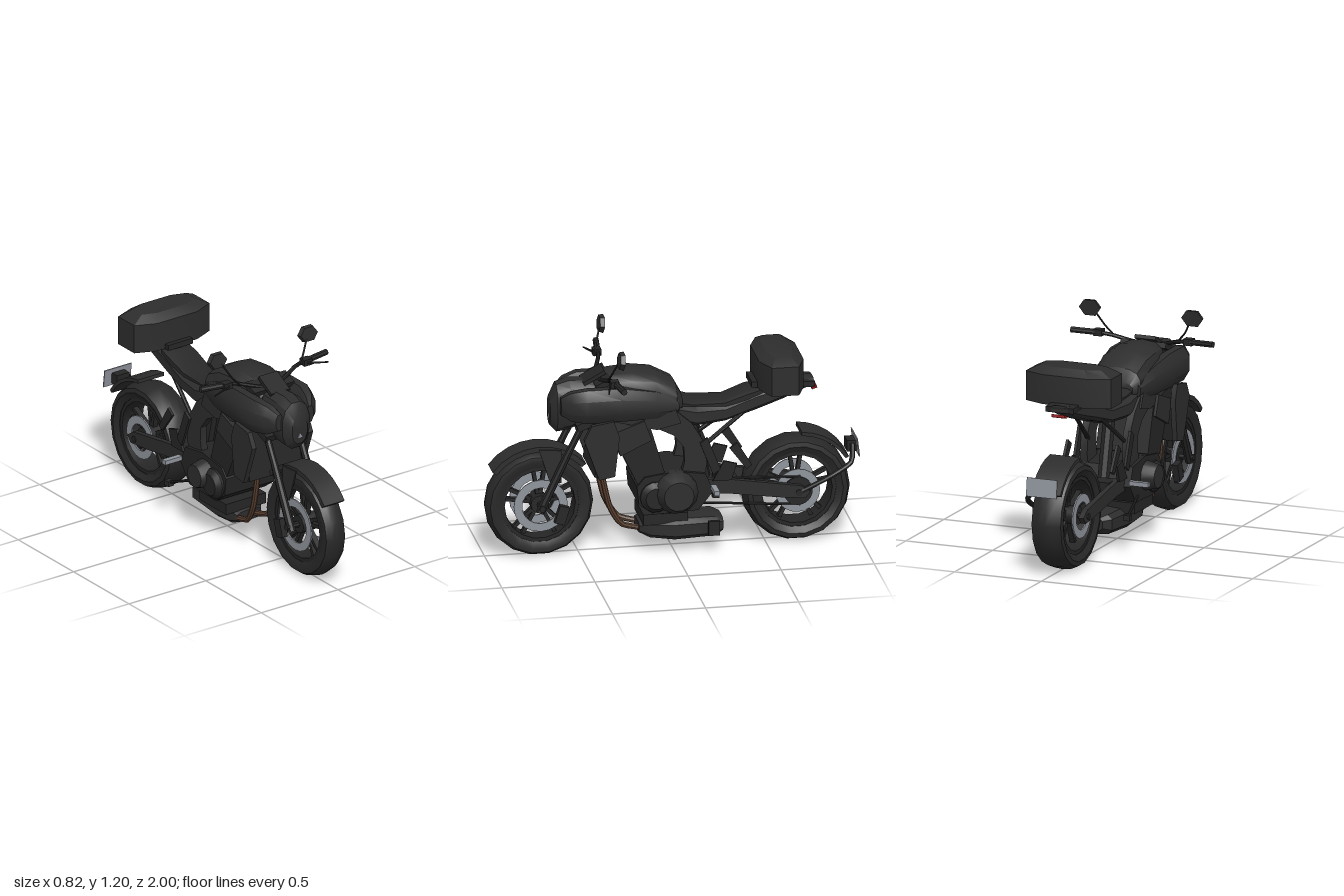
import * as THREE from 'three';
import { toCreasedNormals } from 'three/addons/utils/BufferGeometryUtils.js';

const mat = (name, color) => Object.assign(new THREE.MeshStandardMaterial({ color }), { name });

export function createModel() {
  const root = new THREE.Group();
  root.name = 'motorcycle';
  const paint = mat('black paint', 0x2d2d2d);
  const rubber = mat('dark rubber', 0x282828);
  const metal = mat('dark metal', 0x252525);
  const steel = mat('light steel', 0x8f949b);
  const copper = mat('brown exhaust', 0x5a4030);
  const red = mat('red lens', 0x8c0a0d);
  const V = (x, y, z) => new THREE.Vector3(x, y, z);

  const add = (name, geo, material, parent = root) => {
    const mesh = new THREE.Mesh(toCreasedNormals(geo, 0.55), material);
    mesh.name = name;
    parent.add(mesh);
    return mesh;
  };
  const pair = (fn) => [1, -1].forEach(fn);

  // Body through oval sections [z, cx, cy, halfWidth, halfHeight], z rising; p < 1 squares the oval
  function loft(sections, n = 12, p = 0.75) {
    const pos = [], idx = [];
    const bend = (v) => Math.sign(v) * Math.abs(v) ** p;
    for (const [z, cx, cy, w, h] of sections)
      for (let k = 0; k < n; k++) {
        const a = ((k + 0.5) / n) * Math.PI * 2;
        pos.push(cx + w * bend(Math.cos(a)), cy + h * bend(Math.sin(a)), z);
      }
    const last = sections.length - 1;
    for (const i of [0, last]) pos.push(sections[i][1], sections[i][2], sections[i][0]);
    const c0 = n * sections.length;
    for (let k = 0; k < n; k++) {
      const j = (k + 1) % n;
      for (let i = 0; i < last; i++) {
        const a = i * n + k, b = i * n + j, c = b + n, d = a + n;
        idx.push(a, b, c, a, c, d);
      }
      idx.push(c0, j, k, c0 + 1, last * n + k, last * n + j);
    }
    const g = new THREE.BufferGeometry();
    g.setAttribute('position', new THREE.Float32BufferAttribute(pos, 3));
    g.setIndex(idx);
    return g;
  }
  // Side-on outline of [z, y] points, from x = a to x = b
  function plate(pts, a, b) {
    const shape = new THREE.Shape(pts.map(([z, y]) => new THREE.Vector2(z, y)));
    const g = new THREE.ExtrudeGeometry(shape, { depth: Math.abs(a - b), bevelEnabled: false });
    return g.rotateY(-Math.PI / 2).translate(Math.max(a, b), 0, 0);
  }
  // Ring turned round the x axis from [radius, x] points
  const turned = (pts, n) =>
    new THREE.LatheGeometry(pts.map(([r, x]) => new THREE.Vector2(r, x)), n).rotateZ(-Math.PI / 2);
  const ring = (ri, ro, t, n) => turned([[ri, -t], [ro, -t], [ro, t], [ri, t], [ri, -t]], n);
  function rod(a, b, r, r2 = r, n = 8) {
    const d = b.clone().sub(a);
    const g = new THREE.CylinderGeometry(r2, r, d.length(), n);
    g.applyQuaternion(new THREE.Quaternion().setFromUnitVectors(V(0, 1, 0), d.normalize()));
    const m = a.clone().add(b).multiplyScalar(0.5);
    return g.translate(m.x, m.y, m.z);
  }
  const tube = (pts, r) =>
    new THREE.TubeGeometry(new THREE.CatmullRomCurve3(pts, false, 'catmullrom', 0.3), 16, r, 8);
  const box = (w, h, d, x, y, z, rx = 0) => new THREE.BoxGeometry(w, h, d).rotateX(rx).translate(x, y, z);
  // Outline of a curved mudguard round a wheel, angles in degrees from +z
  function arc(cz, cy, ri, ro, a0, a1, n = 8) {
    const pts = [];
    for (let i = 0; i <= 2 * n + 1; i++) {
      const out = i <= n, t = out ? i / n : (2 * n + 1 - i) / n;
      const a = THREE.MathUtils.degToRad(a0 + (a1 - a0) * t), r = out ? ro : ri;
      pts.push([cz + r * Math.cos(a), cy + r * Math.sin(a)]);
    }
    return pts;
  }

  // Wheels with tyre, rim, spokes and brake discs
  function wheel(name, z, y, w, discR, discIn, discX) {
    const g = new THREE.Group();
    g.name = name;
    g.position.set(0, y, z);
    root.add(g);
    add('tyre', turned([[0.21, -w * 0.8], [0.245, -w], [0.27, -w * 0.95], [0.287, -w * 0.5], [0.292, 0],
      [0.287, w * 0.5], [0.27, w * 0.95], [0.245, w], [0.21, w * 0.8], [0.21, -w * 0.8]], 18), rubber, g);
    add('rim', ring(0.19, 0.215, w * 0.75, 18), metal, g);
    add('hub', ring(0.012, 0.05, w * 0.8, 12), metal, g);
    for (let i = 0; i < 10; i++) {
      const a = (Math.floor(i / 2) / 5) * Math.PI * 2 + (i % 2 ? 0.16 : -0.16);
      add('spoke', box(0.03, 0.17, 0.02, 0, 0.12, 0).rotateX(a), metal, g);
    }
    pair((s) => add('brakeDisc', ring(discIn, discR, 0.004, 20).translate(s * discX, 0, 0), steel, g));
    add('axle', rod(V(-0.13, 0, 0), V(0.13, 0, 0), 0.018), metal, g);
    return g;
  }
  wheel('frontWheel', 0.71, 0.297, 0.064, 0.145, 0.1, 0.066);
  const rear = wheel('rearWheel', -0.667, 0.297, 0.088, 0.12, 0.075, 0.085);
  add('sprocket', ring(0.02, 0.078, 0.005, 24).translate(0.093, 0, 0), metal, rear);

  // Front end: mudguard, fork, calipers, clamps
  add('frontMudguard', plate(arc(0.71, 0.297, 0.3, 0.328, 38, 138), -0.066, 0.066), paint);
  pair((s) => {
    add('forkSlider', rod(V(s * 0.1, 0.27, 0.72), V(s * 0.1, 0.6, 0.565), 0.024, 0.02), metal);
    add('forkTube', rod(V(s * 0.1, 0.58, 0.575), V(s * 0.1, 0.99, 0.37), 0.019), metal);
    add('mudguardStay', plate([[0.6, 0.42], [0.66, 0.42], [0.72, 0.61], [0.6, 0.6]], s * 0.066, s * 0.074), paint);
    add('caliper', box(0.035, 0.1, 0.055, s * 0.085, 0.245, 0.6, -0.3), metal);
  });
  add('upperClamp', box(0.26, 0.03, 0.09, 0, 0.975, 0.38, 0.4), metal);
  add('lowerClamp', box(0.25, 0.04, 0.09, 0, 0.75, 0.48, 0.4), metal);

  // Headlamp cowl, small lamp and instruments
  add('headlampCowl', loft([[0.4, 0, 0.87, 0.085, 0.1], [0.55, 0, 0.84, 0.098, 0.14],
    [0.62, 0, 0.825, 0.09, 0.135], [0.655, 0, 0.81, 0.05, 0.08]], 12, 0.85), paint);
  add('positionLamp', new THREE.CylinderGeometry(0.017, 0.017, 0.006, 3)
    .rotateX(Math.PI / 2).rotateZ(Math.PI).translate(0, 0.775, 0.656), steel);
  add('instruments', box(0.12, 0.02, 0.13, 0, 0.99, 0.42, 0.5), metal);

  // Handlebar, grips, levers and mirrors
  add('handlebar', tube([V(-0.3, 1.025, 0.34), V(-0.2, 1.02, 0.35), V(-0.08, 0.985, 0.39), V(0, 0.98, 0.4),
    V(0.08, 0.985, 0.39), V(0.2, 1.02, 0.35), V(0.3, 1.025, 0.34)], 0.011), metal);
  pair((s) => {
    add('grip', rod(V(s * 0.26, 1.025, 0.345), V(s * 0.41, 1.03, 0.325), 0.017), rubber);
    add('switchgear', box(0.05, 0.035, 0.045, s * 0.26, 1.025, 0.35), metal);
    add('lever', rod(V(s * 0.25, 1.025, 0.37), V(s * 0.37, 1.01, 0.4), 0.007, 0.004, 6), metal);
    add('mirrorStalk', tube([V(s * 0.19, 1.02, 0.37), V(s * 0.23, 1.065, 0.36), V(s * 0.28, 1.15, 0.33)], 0.005), metal);
    add('mirror', new THREE.CylinderGeometry(0.055, 0.062, 0.025, 6).rotateZ(Math.PI / 2).rotateY(Math.PI / 2)
      .scale(1, 0.8, 1).rotateX(-0.12).translate(s * 0.295, 1.165, 0.32), paint);
  });

  // Tank and its side shrouds
  add('fuelTank', loft([[-0.045, 0, 0.83, 0.11, 0.05], [-0.01, 0, 0.855, 0.14, 0.09], [0.1, 0, 0.885, 0.15, 0.12],
    [0.22, 0, 0.89, 0.15, 0.132], [0.34, 0, 0.885, 0.13, 0.13], [0.42, 0, 0.87, 0.09, 0.09]], 14), paint);
  pair((s) => {
    add('tankShroud', loft([[-0.02, s * 0.115, 0.83, 0.03, 0.04], [0.1, s * 0.135, 0.85, 0.045, 0.08],
      [0.3, s * 0.15, 0.87, 0.058, 0.1], [0.48, s * 0.15, 0.87, 0.06, 0.1], [0.56, s * 0.125, 0.865, 0.05, 0.085],
      [0.61, s * 0.1, 0.86, 0.025, 0.05]], 8, 1), paint);
    add('radiatorPanel', plate([[0.5, 0.69], [0.46, 0.77], [0.34, 0.79], [0.31, 0.7], [0.335, 0.48], [0.42, 0.465]],
      s * 0.17, s * 0.198), paint);
    add('lowerTankCover', plate([[0.34, 0.8], [0.0, 0.82], [-0.03, 0.74], [0.1, 0.71], [0.33, 0.77]],
      s * 0.1, s * 0.15), paint);
  });
  add('radiator', box(0.34, 0.31, 0.05, 0, 0.62, 0.385, -0.2), metal);

  // Engine: cylinder block, crankcase and side covers
  add('cylinderBlock', plate([[0.34, 0.7], [0.15, 0.775], [0.06, 0.47], [0.2, 0.4]], -0.15, 0.15), metal);
  add('cylinderHead', plate([[0.335, 0.71], [0.17, 0.77], [0.13, 0.66], [0.3, 0.58]], -0.165, 0.165), paint);
  add('crankcase', plate([[0.21, 0.4], [0.17, 0.45], [0.0, 0.475], [-0.16, 0.45], [-0.2, 0.35], [-0.12, 0.25],
    [0.12, 0.24], [0.2, 0.3]], -0.16, 0.16), metal);
  const cover = (r, a, b) => turned([[0, a], [r, a], [r, (a + b) / 2], [r * 0.7, b], [0, b]], 14);
  add('clutchCover', cover(0.115, 0.13, 0.25).translate(0, 0.362, 0), paint);
  add('alternatorCover', cover(0.09, -0.12, 0.1).scale(1, 1, 1).rotateY(Math.PI).translate(-0.13, 0.365, 0.02), paint);
  pair((s) => add('sideCasing', cover(0.085, 0, 0.055).rotateY(s < 0 ? Math.PI : 0)
    .translate(s * 0.145, 0.34, 0.11), metal));

  // Exhaust: two header pipes, belly silencer and outlet
  pair((s) => add('headerPipe', tube([V(s * 0.075, 0.56, 0.36), V(s * 0.08, 0.47, 0.385), V(s * 0.076, 0.28, 0.345),
    V(s * 0.065, 0.165, 0.275), V(s * 0.05, 0.125, 0.13)], 0.016), copper));
  add('silencer', loft([[-0.26, 0.05, 0.145, 0.08, 0.04], [-0.22, 0.04, 0.14, 0.11, 0.06],
    [0.0, 0.033, 0.135, 0.12, 0.065], [0.13, 0.02, 0.14, 0.11, 0.055], [0.185, 0.01, 0.14, 0.08, 0.03]], 10, 0.6), paint);
  add('silencerMount', box(0.26, 0.06, 0.24, 0, 0.2, 0.05), metal);
  add('exhaustOutlet', box(0.022, 0.08, 0.06, 0.178, 0.15, -0.2), metal);

  // Main frame spars, subframe struts and swingarm
  pair((s) => {
    add('frameSpar', plate([[0.18, 0.8], [0.0, 0.81], [-0.09, 0.73], [-0.155, 0.62], [-0.17, 0.5], [-0.14, 0.36],
      [-0.02, 0.4], [-0.05, 0.52], [-0.045, 0.6], [0.01, 0.67], [0.13, 0.73]], s * 0.1, s * 0.14), paint);
    add('subframeStrut', rod(V(s * 0.07, 0.78, -0.41), V(s * 0.11, 0.57, -0.13), 0.012), metal);
    add('swingarm', plate([[-0.1, 0.41], [-0.28, 0.4], [-0.68, 0.335], [-0.73, 0.3], [-0.7, 0.265], [-0.55, 0.28],
      [-0.28, 0.32], [-0.1, 0.33]], s * 0.095, s * 0.125), paint);
    add('heelPlate', plate([[-0.2, 0.4], [-0.26, 0.51], [-0.33, 0.49], [-0.3, 0.4]], s * 0.13, s * 0.145), metal);
    add('footrestBracket', plate([[-0.13, 0.62], [-0.17, 0.65], [-0.24, 0.47], [-0.2, 0.44]], s * 0.14, s * 0.155), metal);
    add('passengerBracket', plate([[-0.29, 0.58], [-0.33, 0.61], [-0.41, 0.48], [-0.38, 0.46]], s * 0.135, s * 0.15), metal);
    add('footrest', box(0.11, 0.024, 0.03, s * 0.215, 0.375, -0.2), steel);
  });
  add('swingarmBridge', box(0.2, 0.07, 0.1, 0, 0.365, -0.29), metal);
  add('shockAbsorber', rod(V(0, 0.38, -0.18), V(0, 0.72, -0.1), 0.035), metal);
  for (const [a, b] of [[0.265, 0.22], [0.4, 0.375]])
    add('chainRun', rod(V(0.09, a, -0.14), V(0.09, b, -0.68), 0.007, 0.007, 6), metal);
  add('brakePedal', rod(V(-0.16, 0.28, -0.1), V(-0.18, 0.21, -0.27), 0.008), metal);
  add('pedalPad', box(0.035, 0.03, 0.035, -0.18, 0.205, -0.275), rubber);

  // Seat, tail and luggage box
  add('tail', loft([[-0.76, 0, 0.89, 0.05, 0.02], [-0.6, 0, 0.85, 0.075, 0.045], [-0.45, 0, 0.81, 0.09, 0.055],
    [-0.28, 0, 0.755, 0.1, 0.05], [-0.12, 0, 0.755, 0.13, 0.06], [0.02, 0, 0.79, 0.13, 0.05]], 10, 0.6), paint);
  add('seat', loft([[-0.48, 0, 0.865, 0.085, 0.02], [-0.4, 0, 0.84, 0.09, 0.03], [-0.28, 0, 0.8, 0.085, 0.025],
    [-0.1, 0, 0.805, 0.1, 0.025], [0.0, 0, 0.83, 0.11, 0.03]], 10, 0.6), rubber);
  add('rack', box(0.16, 0.03, 0.34, 0, 0.895, -0.59, -0.06), metal);
  const caseShape = new THREE.Shape([[-0.13, 0.69], [0.13, 0.69], [0.245, 0.645], [0.245, 0.5], [0.13, 0.452],
    [-0.13, 0.452], [-0.245, 0.5], [-0.245, 0.645]].map((p) => new THREE.Vector2(...p)));
  const caseGeo = new THREE.ExtrudeGeometry(caseShape, { depth: 0.195, steps: 3, bevelEnabled: false })
    .rotateX(-Math.PI / 2).translate(0, 0.89, 0);
  const cp = caseGeo.attributes.position;
  for (let i = 0; i < cp.count; i++) // lid draws in towards the top
    if (cp.getY(i) > 1.08) {
      cp.setX(i, cp.getX(i) * 0.72);
      cp.setZ(i, -0.57 + (cp.getZ(i) + 0.57) * 0.6);
    } else if (cp.getY(i) > 1.0) cp.setY(i, 1.05);
  add('luggageBox', caseGeo, paint);

  // Tail lamp, rear mudguard, its arm and the blank plate
  add('tailLamp', box(0.075, 0.016, 0.03, 0, 0.853, -0.765, 0.3), red);
  add('rearMudguard', plate(arc(-0.667, 0.297, 0.305, 0.325, 94, 148, 5), -0.085, 0.085), paint);
  add('mudguardArm', tube([V(0.115, 0.3, -0.68), V(0.125, 0.38, -0.84), V(0.1, 0.44, -0.95), V(0.04, 0.52, -0.97)], 0.014), metal);
  add('plateHolder', box(0.08, 0.06, 0.05, 0, 0.51, -0.965), metal);
  add('numberPlate', box(0.175, 0.1, 0.006, 0, 0.515, -0.993, 0.12), steel);
  return root;
}
